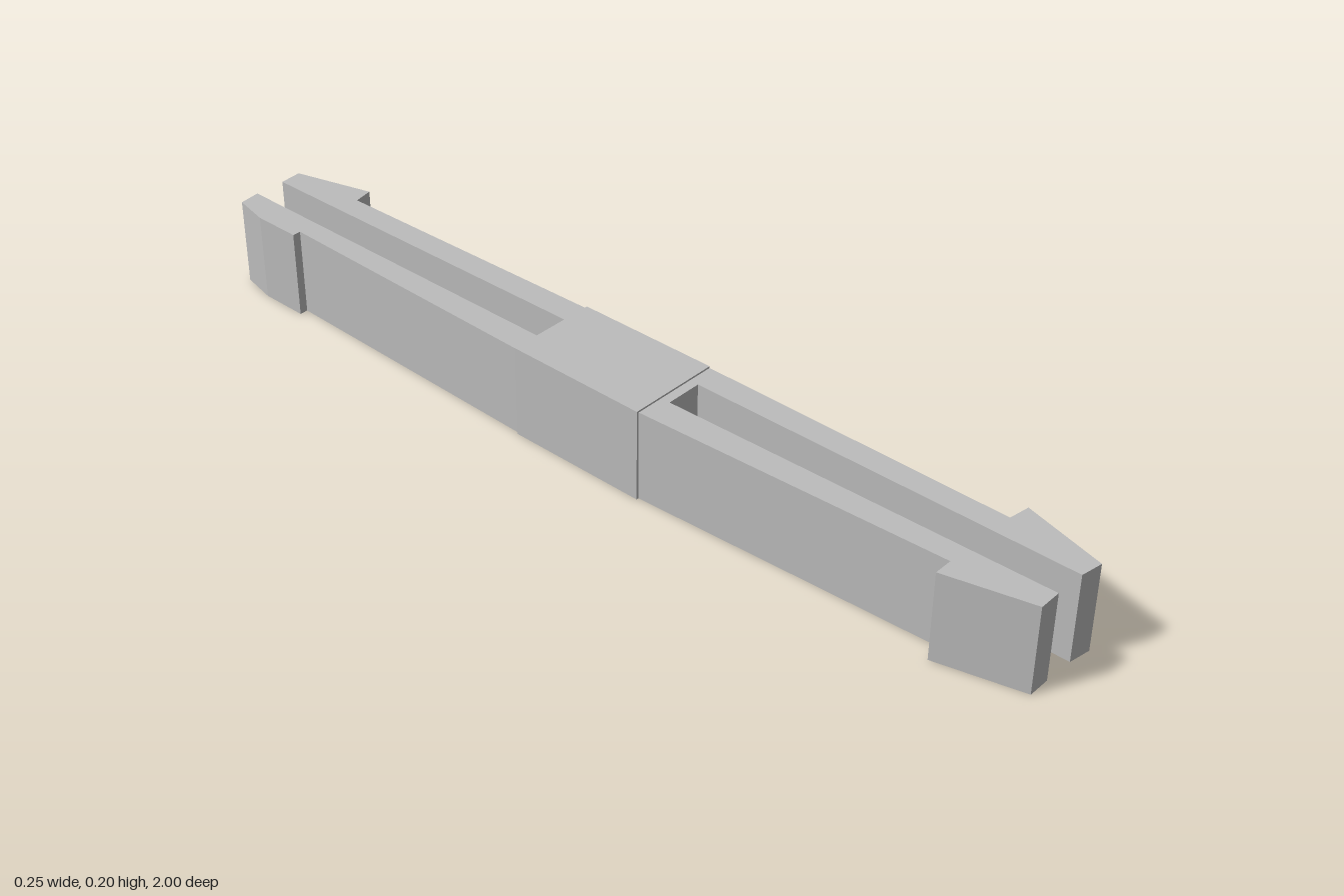
import * as THREE from 'three';

const plastic = new THREE.MeshStandardMaterial({ color: 0xbcbcbc });
plastic.name = 'light grey plastic';

// Upright slab from a plan outline of [x, z] points; top height follows topAt(z)
function slab(name, outline, topAt) {
  const shape = new THREE.Shape(outline.map(([x, z]) => new THREE.Vector2(x, -z)));
  const geo = new THREE.ExtrudeGeometry(shape, { depth: 1, bevelEnabled: false });
  geo.rotateX(-Math.PI / 2);
  const p = geo.attributes.position;
  for (let i = 0; i < p.count; i++) {
    p.setY(i, p.getY(i) > 0.5 ? topAt(p.getZ(i)) : 0);
  }
  geo.computeVertexNormals();
  const mesh = new THREE.Mesh(geo, plastic);
  mesh.name = name;
  return mesh;
}

export function createModel() {
  const clip = new THREE.Group();
  clip.name = 'doubleEndedClip';

  // Arms thin very slightly towards their tips
  const armTop = (z) => 0.196 - 0.006 * Math.abs(z);

  // Front fork: two barbed prongs joined by a short web
  clip.add(slab('frontFork', [
    [-0.122, 0.14], [-0.087, 0.81], [-0.127, 0.81], [-0.082, 0.99], [-0.034, 0.99],
    [-0.06, 0.16], [0.019, 0.16],
    [0.032, 0.992], [0.079, 1.0], [0.124, 0.822], [0.079, 0.815], [0.075, 0.14],
  ], armTop));

  // Back prongs, the left-hand one with a blunt barb
  clip.add(slab('backRightProng', [
    [-0.123, -0.17], [-0.108, -0.81], [-0.126, -0.81], [-0.126, -0.915],
    [-0.109, -0.993], [-0.063, -0.998], [-0.063, -0.17],
  ], armTop));
  clip.add(slab('backLeftProng', [
    [0.013, -0.17], [0.005, -0.997], [0.053, -1.0], [0.1, -0.828],
    [0.058, -0.82], [0.071, -0.17],
  ], armTop));

  // Slightly raised block joining both ends
  clip.add(slab('hub', [
    [-0.127, 0.14], [0.075, 0.14], [0.072, -0.172], [-0.127, -0.172],
  ], () => 0.199));

  return clip;
}
